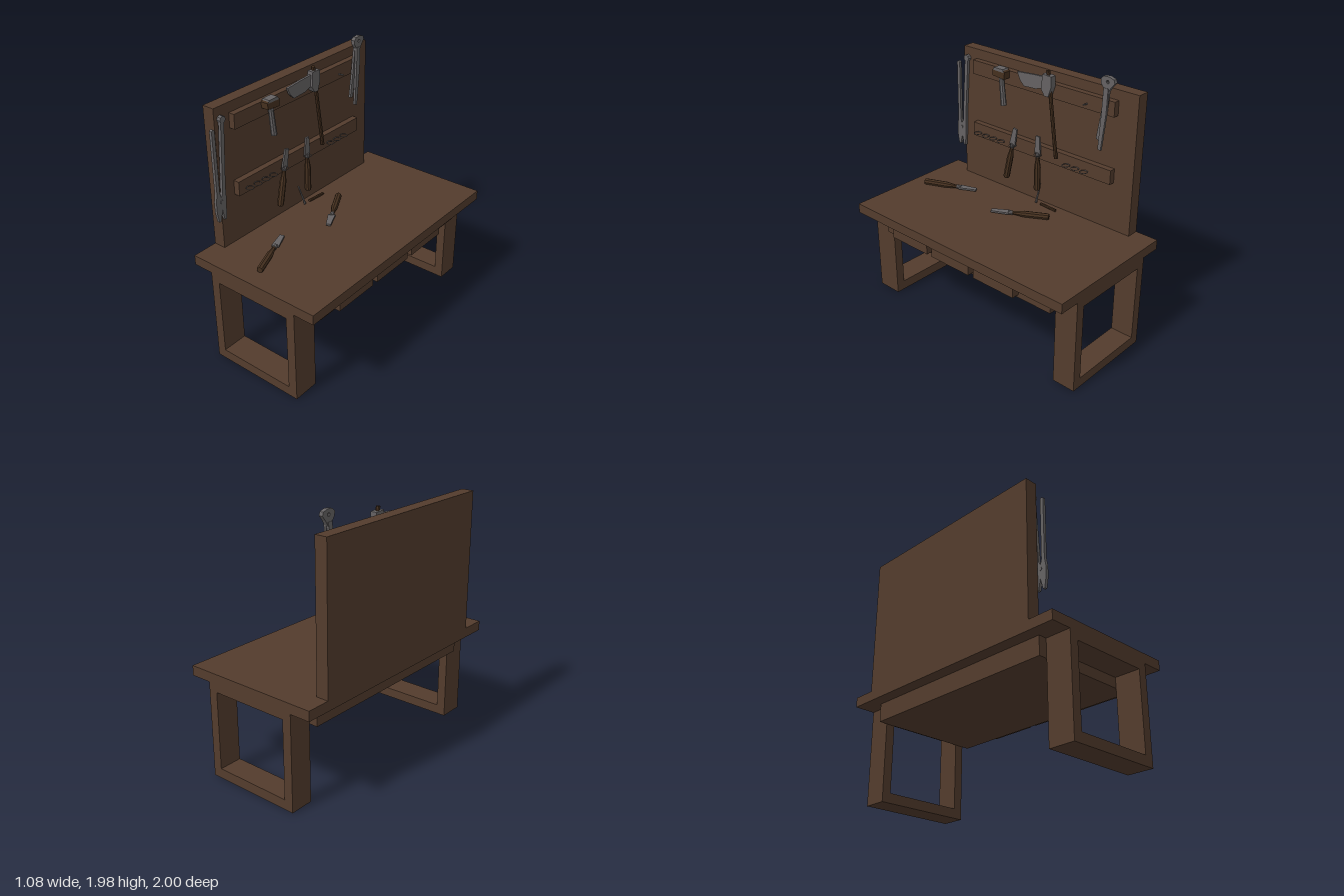
import * as THREE from 'three';

const mat = (name, color) => {
  const m = new THREE.MeshStandardMaterial({ color, flatShading: true });
  m.name = name;
  return m;
};

export function createModel() {
  const model = new THREE.Group();
  const wood = mat('brown wood', 0x533c2d);
  const handleWood = mat('dark handle wood', 0x45301f);
  const steel = mat('grey steel', 0x656263);

  const add = (name, geo, material, parent = model) => {
    const mesh = new THREE.Mesh(geo, material);
    mesh.name = name;
    parent.add(mesh);
    return mesh;
  };
  // Box given by its limits on each axis
  const box = (name, [x0, x1], [y0, y1], [z0, z1], material = wood) => {
    const geo = new THREE.BoxGeometry(x1 - x0, y1 - y0, z1 - z0);
    return add(name, geo.translate((x0 + x1) / 2, (y0 + y1) / 2, (z0 + z1) / 2), material);
  };
  // Flat plate drawn as [z, y] points, centred on x
  const outline = pts => pts.map(([z, y]) => new THREE.Vector2(-z, y));
  const plate = (name, pts, x, thick, material = steel, parent = model, hole) => {
    const shape = new THREE.Shape(outline(pts));
    if (hole) shape.holes.push(new THREE.Path().absarc(-hole[0], hole[1], hole[2], 0, Math.PI * 2));
    const geo = new THREE.ExtrudeGeometry(shape, { depth: thick, bevelEnabled: false, curveSegments: 5 });
    return add(name, geo.translate(0, 0, -thick / 2).rotateY(Math.PI / 2).translate(x, 0, 0), material, parent);
  };
  // Straight bar between two points
  const rod = (name, a, b, r0, r1, material, parent = model, sides = 8) => {
    const p = new THREE.Vector3(...a), q = new THREE.Vector3(...b);
    const mesh = add(name, new THREE.CylinderGeometry(r1, r0, p.distanceTo(q), sides), material, parent);
    mesh.position.copy(p).add(q).multiplyScalar(0.5);
    mesh.quaternion.setFromUnitVectors(new THREE.Vector3(0, 1, 0), q.sub(p).normalize());
    return mesh;
  };
  const group = name => {
    const g = new THREE.Group();
    g.name = name;
    model.add(g);
    return g;
  };

  // Bench
  box('benchTop', [-0.54, 0.54], [0.73, 0.805], [-1, 1]);
  box('apron', [-0.445, 0.43], [0.59, 0.73], [-0.82, 0.8]);
  for (const z of [-0.54, -0.12, 0.3]) box('drawer', [0.43, 0.49], [0.615, 0.725], [z, z + 0.37]);
  for (const [z, depth] of [[-1, 0.18], [0.8, 0.2]]) {
    const rect = (C, x0, x1, y0, y1) => new C([[x0, y0], [x1, y0], [x1, y1], [x0, y1]].map(p => new THREE.Vector2(...p)));
    const frame = rect(THREE.Shape, -0.38, 0.375, 0, 0.73);
    frame.holes.push(rect(THREE.Path, -0.31, 0.305, 0.075, 0.67));
    add('legFrame', new THREE.ExtrudeGeometry(frame, { depth, bevelEnabled: false }).translate(0, 0, z), wood);
  }

  // Tool board with two rails
  box('toolBoard', [-0.54, -0.445], [0.805, 1.875], [-0.82, 0.8]);
  for (const y of [1.18, 1.69]) box('rail', [-0.445, -0.398], [y, y + 0.11], [-0.66, 0.665]);

  // Chisels, each built upright then laid from base to tip with its flat side facing the normal
  const chisel = (base, tip, normal) => {
    const g = group('chisel');
    const profile = [[0, 0], [0.021, 0], [0.025, 0.01], [0.025, 0.19], [0.014, 0.26], [0.014, 0.29], [0, 0.29]];
    add('chiselHandle', new THREE.LatheGeometry(profile.map(p => new THREE.Vector2(...p)), 8), handleWood, g);
    rod('chiselFerrule', [0, 0.275, 0], [0, 0.31, 0], 0.017, 0.017, steel, g);
    plate('chiselBlade', [[-0.027, 0.3], [0.027, 0.3], [0.018, 0.44], [-0.018, 0.44]], 0, 0.014, steel, g);
    const p = new THREE.Vector3(...base);
    const y = new THREE.Vector3(...tip).sub(p).normalize(), x = new THREE.Vector3(...normal);
    g.quaternion.setFromRotationMatrix(new THREE.Matrix4().makeBasis(x, y, x.clone().cross(y)));
    g.position.copy(p);
  };
  chisel([-0.37, 0.935, -0.02], [-0.37, 1.375, -0.02], [1, 0, 0]);
  chisel([-0.37, 0.94, 0.292], [-0.37, 1.38, 0.2], [1, 0, 0]);
  chisel([-0.25, 0.829, -0.24], [-0.04, 0.829, 0.14], [0, 1, 0]);
  chisel([-0.04, 0.829, 0.87], [-0.21, 0.829, 0.45], [0, 1, 0]);

  // Wire tool loops on the lower rail
  for (const z of [-0.45, -0.37, -0.29, -0.02, 0.23, 0.35, 0.43, 0.51, 0.59]) {
    const loop = add('wireLoop', new THREE.TorusGeometry(0.029, 0.003, 4, 10), steel);
    loop.rotation.x = Math.PI / 2;
    loop.position.set(-0.367, 1.225, z);
  }
  // Pegs on the upper rail
  for (const z of [-0.59, -0.43, -0.09, 0.34]) {
    rod('peg', [-0.4, 1.73, z], [-0.35, 1.735, z], 0.005, 0.005, steel, model, 6);
  }

  // Hammer
  const hammer = group('hammer');
  rod('hammerHandle', [-0.37, 1.53, 0.322], [-0.37, 1.77, 0.347], 0.023, 0.019, steel, hammer);
  plate('hammerHead', [[0.405, 1.755], [0.29, 1.745], [0.287, 1.8], [0.305, 1.815], [0.39, 1.815], [0.405, 1.8]], -0.368, 0.06, handleWood, hammer);
  plate('hammerFace', [[0.4, 1.8], [0.292, 1.797], [0.305, 1.82], [0.39, 1.82]], -0.368, 0.062, steel, hammer);

  // Axe
  const axe = group('axe');
  rod('axeHandle', [-0.367, 1.25, -0.195], [-0.367, 1.89, -0.105], 0.014, 0.014, handleWood, axe);
  rod('axeKnob', [-0.367, 1.88, -0.105], [-0.367, 1.902, -0.103], 0.015, 0.015, handleWood, axe);
  plate('axeBlade', [[0.18, 1.83], [0.155, 1.775], [0.115, 1.735], [0, 1.742], [-0.065, 1.765], [-0.07, 1.85], [0.02, 1.845]], -0.367, 0.018, steel, axe);
  plate('axeSocket', [[-0.06, 1.76], [-0.09, 1.715], [-0.125, 1.715], [-0.15, 1.79], [-0.15, 1.87], [-0.07, 1.875]], -0.367, 0.05, steel, axe);

  // Long shears at the far end
  const shears = group('shears');
  plate('shearsHead', [[-0.6, 1.88], [-0.565, 1.93], [-0.563, 1.96], [-0.585, 1.98], [-0.63, 1.983], [-0.67, 1.97],
    [-0.678, 1.945], [-0.65, 1.91], [-0.625, 1.87]], -0.37, 0.03, steel, shears, [-0.62, 1.945, 0.012]);
  plate('shearsBlade', [[-0.592, 1.9], [-0.63, 1.9], [-0.625, 1.72], [-0.595, 1.44], [-0.57, 1.445], [-0.585, 1.7]], -0.36, 0.018, steel, shears);
  plate('shearsBlade', [[-0.592, 1.9], [-0.628, 1.9], [-0.61, 1.72], [-0.565, 1.5], [-0.538, 1.51], [-0.57, 1.72]], -0.38, 0.018, steel, shears);

  // Open tongs at the near end
  const tongs = group('tongs');
  plate('tongsArm', [[0.855, 1.74], [0.84, 1.75], [0.828, 1.74], [0.828, 1.27], [0.815, 1.22], [0.818, 1.12], [0.835, 1.05],
    [0.852, 1.05], [0.866, 1.13], [0.866, 1.21], [0.855, 1.27]], -0.427, 0.022, steel, tongs);
  plate('tongsArm', [[0.768, 1.8], [0.737, 1.8], [0.772, 1.3], [0.772, 1.22], [0.782, 1.05], [0.8, 1.05], [0.815, 1.13],
    [0.82, 1.23], [0.803, 1.26]], -0.427, 0.022, steel, tongs);
  rod('tongsPivot', [-0.442, 1.2, 0.818], [-0.41, 1.2, 0.818], 0.014, 0.014, steel, tongs);
  rod('tongsEnd', [-0.442, 1.79, 0.752], [-0.412, 1.79, 0.752], 0.026, 0.026, steel, tongs);

  // Thin file leaning on the board, with a loose handle beside it
  rod('leaningFile', [-0.385, 0.81, 0], [-0.442, 0.95, 0.008], 0.009, 0.005, steel, model, 6);
  rod('looseHandle', [-0.385, 0.817, -0.05], [-0.375, 0.817, -0.2], 0.011, 0.011, handleWood);

  return model;
}
